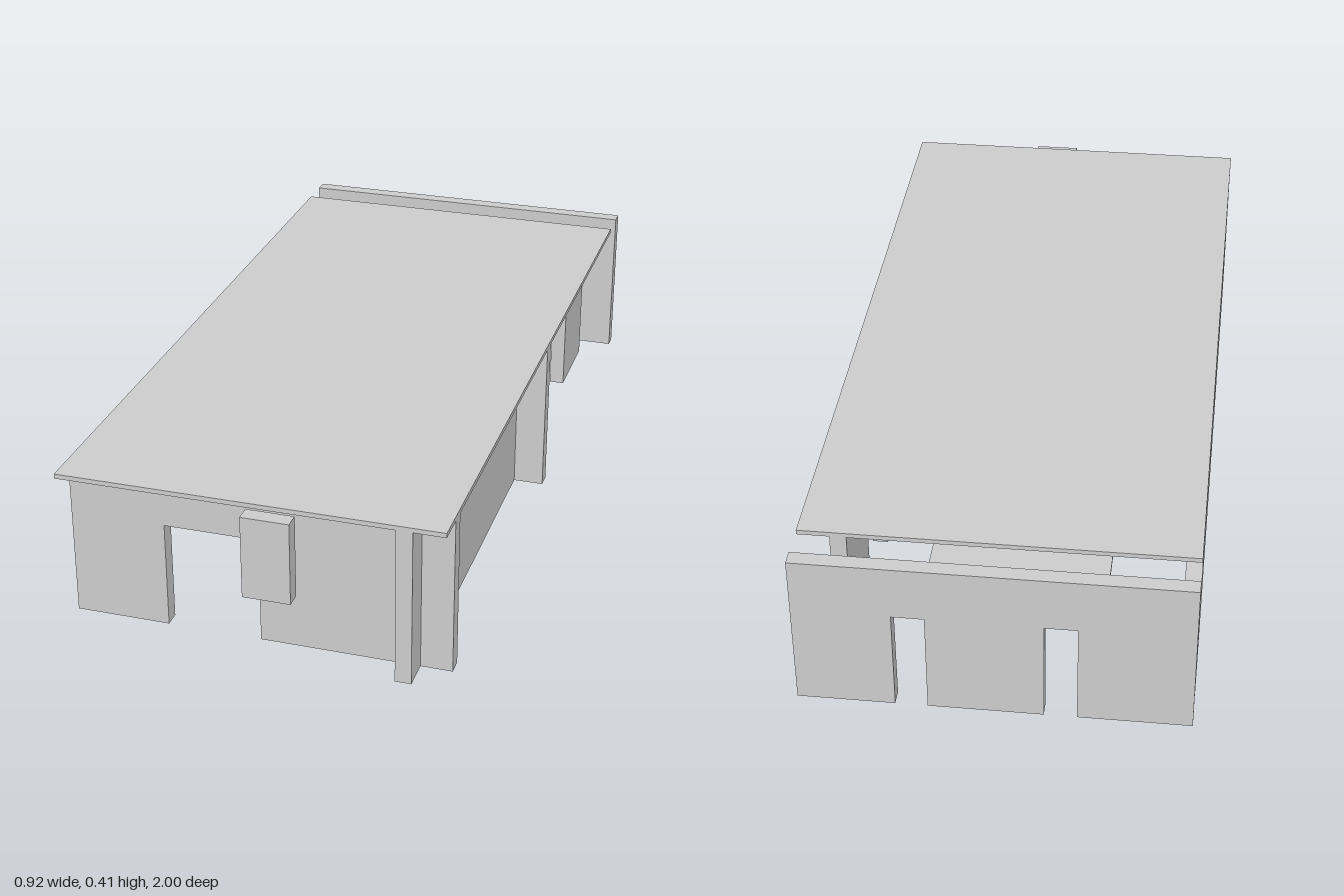
import * as THREE from 'three';

const BASE = 0.0115, DOOR = 0.277, TOP = 0.414;
const material = new THREE.MeshStandardMaterial({ color: 0xcccccc, flatShading: true });

// Box given by its limits on each axis
function slab(name, [x0, x1], [y0, y1], [z0, z1]) {
  const mesh = new THREE.Mesh(new THREE.BoxGeometry(x1 - x0, y1 - y0, z1 - z0), material);
  mesh.position.set((x0 + x1) / 2, (y0 + y1) / 2, (z0 + z1) / 2);
  mesh.name = name;
  return mesh;
}

// Upright wall running along x or z: span along it, limits across it,
// doors as [from, to] and windows as [from, to, bottom, top]
function wall(name, axis, [a, b], [c, d], { top = TOP, doors = [], windows = [] } = {}) {
  const shape = new THREE.Shape();
  shape.moveTo(a, BASE);
  for (const [l, r] of doors) {
    shape.lineTo(l, BASE);
    shape.lineTo(l, DOOR);
    shape.lineTo(r, DOOR);
    shape.lineTo(r, BASE);
  }
  shape.lineTo(b, BASE);
  shape.lineTo(b, top);
  shape.lineTo(a, top);
  shape.closePath();
  for (const [l, r, low, high] of windows) {
    const hole = new THREE.Path();
    hole.moveTo(l, low);
    hole.lineTo(l, high);
    hole.lineTo(r, high);
    hole.lineTo(r, low);
    hole.closePath();
    shape.holes.push(hole);
  }
  const geometry = new THREE.ExtrudeGeometry(shape, { depth: d - c, bevelEnabled: false });
  if (axis === 'x') geometry.translate(0, 0, c);
  else geometry.rotateY(-Math.PI / 2).translate(d, 0, 0);
  const mesh = new THREE.Mesh(geometry, material);
  mesh.name = name;
  return mesh;
}

export function createModel() {
  const house = new THREE.Group();
  house.name = 'house';

  // Flat roof
  house.add(slab('roof', [-0.461, 0.461], [0.4035, 0.415], [-0.885, 0.961]));

  // Full-height walls
  house.add(wall('frontWall', 'x', [-0.461, 0.461], [0.846, 0.885], { doors: [[-0.23, 0]] }));
  house.add(wall('crossWall', 'x', [-0.461, 0.461], [-0.077, -0.038]));
  house.add(wall('backWall', 'x', [-0.461, 0.461], [-1, -0.962],
    { top: 0.415, doors: [[-0.194, -0.117], [0.154, 0.23]] }));
  house.add(wall('leftSideWall', 'z', [-0.885, 0.961], [0.346, 0.385],
    { doors: [[-0.654, -0.423]], windows: [[-0.28, -0.22, 0.106, 0.215]] }));

  // Lower walls on the other side, with a gap beside the cross wall
  house.add(wall('rightRearWall', 'z', [-0.885, -0.04], [-0.461, -0.422], { top: 0.28 }));
  house.add(wall('rightFrontWall', 'z', [0.038, 0.846], [-0.461, -0.422], { top: 0.28 }));

  // Short walls with a window beside the back doors
  for (const x of [-0.233, 0.115]) {
    house.add(wall('backStubWall', 'z', [-0.964, -0.885], [x, x + 0.039],
      { top: 0.28, windows: [[-0.961, -0.912, 0.106, 0.215]] }));
  }

  // Raised block in front of the entrance wall
  house.add(slab('frontBlock', [0, 0.115], [0.195, 0.4], [0.961, 1]));

  // Thin floor pads
  house.add(slab('largeFloorPad', [-0.23, 0.23], [0, BASE], [-0.654, -0.194]));
  for (const span of [[-0.461, -0.346], [-0.23, 0], [0.115, 0.23]]) {
    house.add(slab('smallFloorPad', span, [0, BASE], [0.042, 0.268]));
  }
  return house;
}
